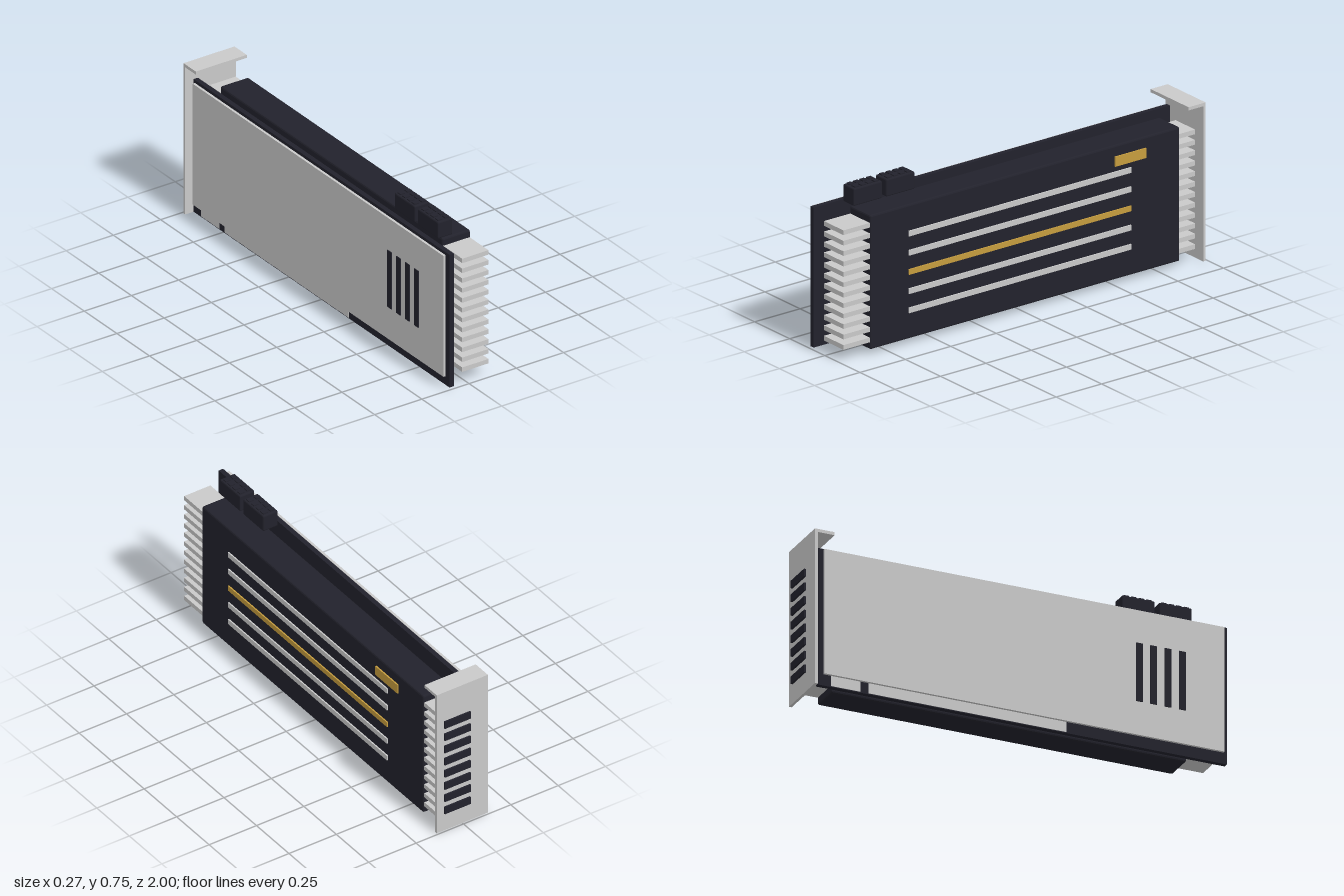
import * as THREE from 'three';
import { RoundedBoxGeometry } from 'three/addons/geometries/RoundedBoxGeometry.js';

const material = (name, color) => {
  const m = new THREE.MeshStandardMaterial({ color });
  m.name = name;
  return m;
};

export function createModel() {
  const dark = material('dark', 0x22222c);
  const silver = material('silver', 0xc9c9c9);
  const gold = material('gold', 0xc59c3e);
  const model = new THREE.Group();
  model.name = 'expansionCard';

  // Box given by its [min, max] on each axis; a chamfer cuts its edges flat
  function block(name, mat, [x0, x1], [y0, y1], [z0, z1], chamfer = 0, parent = model) {
    const size = [x1 - x0, y1 - y0, z1 - z0];
    const geometry = chamfer
      ? new RoundedBoxGeometry(...size, 1, chamfer)
      : new THREE.BoxGeometry(...size);
    if (chamfer) geometry.computeVertexNormals();
    const mesh = new THREE.Mesh(geometry, mat);
    mesh.name = name;
    mesh.position.set((x0 + x1) / 2, (y0 + y1) / 2, (z0 + z1) / 2);
    parent.add(mesh);
    return mesh;
  }
  function group(name) {
    const g = new THREE.Group();
    g.name = name;
    model.add(g);
    return g;
  }

  // Circuit board and the contacts along its lower edge, on both faces
  block('circuitBoard', dark, [-0.103, -0.08], [0.012, 0.668], [-0.96, 1]);
  const contacts = group('edgeContacts');
  for (const z of [[-0.72, 0.23], [-0.9, -0.76]]) {
    block('contactStrip', silver, [-0.08, -0.078], [0.016, 0.075], z, 0, contacts);
    block('contactStrip', silver, [-0.105, -0.103], [0.016, 0.075], z, 0, contacts);
  }

  // Back plate with four vertical vents
  block('backPlate', silver, [-0.122, -0.11], [0.062, 0.66], [-0.94, 0.98]);
  const vents = group('backPlateVents');
  for (let i = 0; i < 4; i++) {
    const z = 0.57 + i * 0.0687;
    block('vent', dark, [-0.126, -0.122], [0.222, 0.502], [z - 0.016, z + 0.016], 0, vents);
  }

  // Shroud and the heatsink fins that stick out at both ends
  block('shroud', dark, [-0.03, 0.118], [0.025, 0.654], [-0.863, 0.84], 0.008);
  const fins = group('heatsinkFins');
  for (let i = 0; i < 12; i++) {
    const y = 0.07 + i * 0.0489;
    block('fin', silver, [-0.026, 0.113], [y - 0.011, y + 0.011], [-0.95, 0.985], 0, fins);
  }

  // Trim lines and badge on the shroud's broad face
  const trim = group('shroudTrim');
  for (let i = 0; i < 5; i++) {
    const y = 0.16 + i * 0.09;
    block('trimLine', i === 2 ? gold : silver,
      [0.116, 0.1245], [y - 0.0125, y + 0.0125], [-0.592, 0.632], 0, trim);
  }
  block('badge', gold, [0.116, 0.125], [0.557, 0.603], [-0.673, -0.502], 0, trim);

  // Mounting bracket with folded lip and exhaust slots
  const bracket = group('bracket');
  block('bracketPlate', silver, [-0.135, 0.135], [0, 0.742], [-0.991, -0.978], 0, bracket);
  block('bracketLip', silver, [-0.135, 0.135], [0.728, 0.743], [-0.991, -0.897], 0, bracket);
  for (let i = 0; i < 8; i++) {
    const y = 0.11 + i * 0.0657;
    block('exhaustSlot', dark, [-0.04, 0.098], [y - 0.018, y + 0.018], [-1, -0.991], 0, bracket);
  }

  // Two power sockets, each topped with two rows of pins
  for (const z of [0.595, 0.774]) {
    const socket = group('powerSocket');
    block('socketBody', dark, [-0.062, 0.016], [0.668, 0.75], [z - 0.078, z + 0.078], 0.006, socket);
    for (const x of [-0.042, -0.004]) {
      for (let i = 0; i < 4; i++) {
        const pz = z + (i - 1.5) * 0.036;
        block('pin', dark, [x - 0.012, x + 0.012], [0.748, 0.755], [pz - 0.012, pz + 0.012], 0, socket);
      }
    }
  }
  return model;
}
